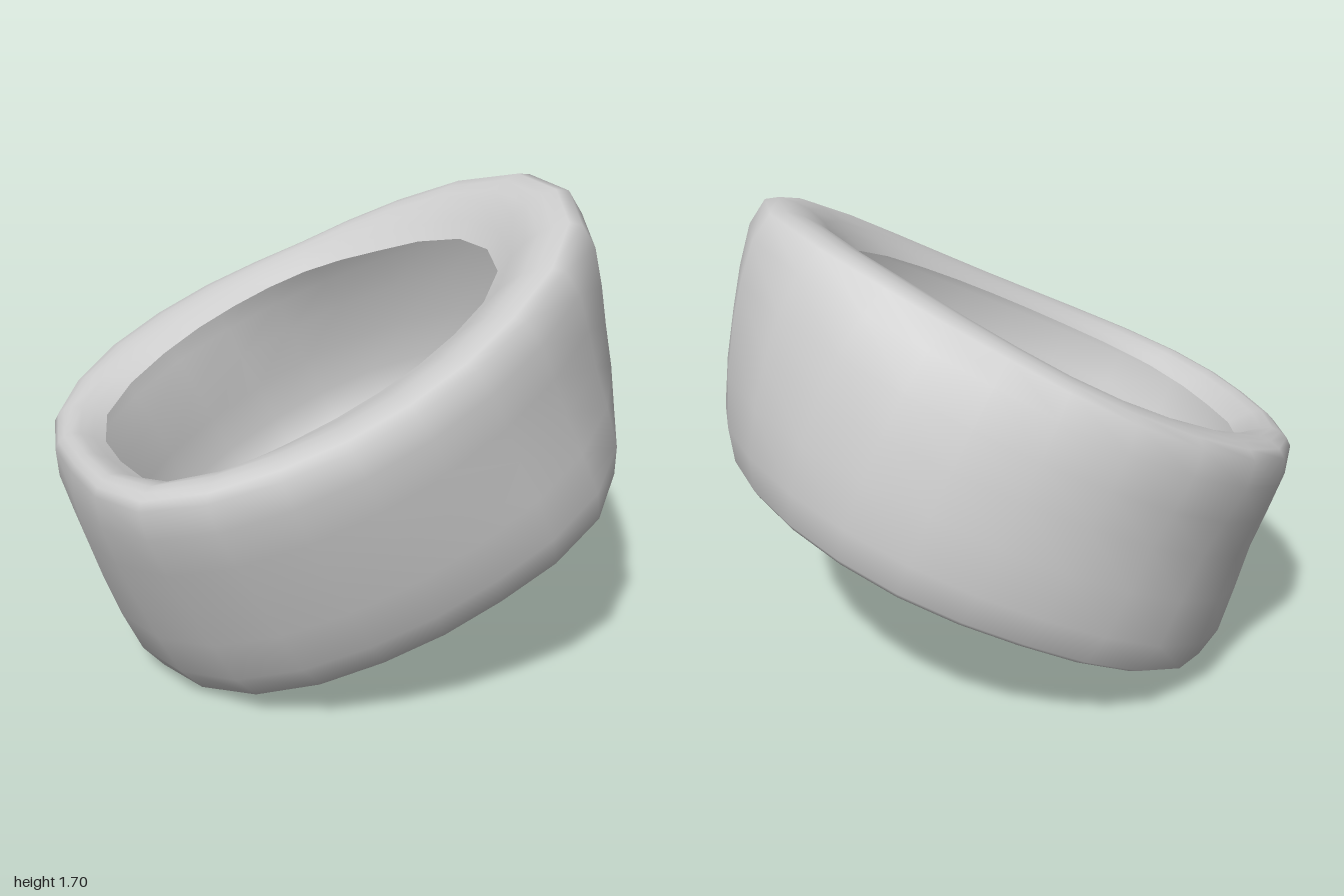
import * as THREE from 'three';

// Radii every 30 degrees, starting at the raised (+x) side and turning towards the front
const OUTER_TOP = [1.09, 1.07, 0.94, 0.88, 0.90, 0.96, 0.91, 0.96, 0.96, 0.88, 0.80, 0.90];
const OUTER_MID = [1.06, 1.03, 0.95, 0.90, 0.92, 0.99, 1.01, 1.00, 0.95, 0.90, 0.90, 0.97];
const OUTER_LOW = [0.87, 0.90, 0.92, 0.84, 0.85, 0.94, 1.00, 1.02, 0.94, 0.86, 0.86, 0.86];
const LIP_TOP = [0.73, 0.75, 0.66, 0.61, 0.64, 0.76, 0.75, 0.77, 0.67, 0.60, 0.59, 0.61];
const LIP_LOW = [0.70, 0.68, 0.61, 0.53, 0.53, 0.64, 0.74, 0.74, 0.72, 0.60, 0.58, 0.63];

const AROUND = 24;
const SECTION = 18;
const TILT = THREE.MathUtils.degToRad(26);
const CENTRE_HEIGHT = 0.845;

// Smooth periodic lookup in a table of radii
function radiusAt(table, t) {
  const n = table.length, f = t * n, i = Math.floor(f), k = f - i;
  const at = (j) => table[(i + j + n) % n];
  const a = at(-1), b = at(0), c = at(1), d = at(2);
  return b + 0.5 * k * (c - a + k * (2 * a - 5 * b + 4 * c - d + k * (3 * (b - c) + d - a)));
}

// Open cross-section of the hollow shell: lower lip, outer wall, upper lip
function sectionAt(t) {
  const [ot, om, ol, lt, ll] = [OUTER_TOP, OUTER_MID, OUTER_LOW, LIP_TOP, LIP_LOW].map((a) => radiusAt(a, t));
  const rise = 0.025 * Math.cos(4 * Math.PI * t); // rim dips at front and back
  const points = [
    [ll, -0.37],
    [ll * 0.5 + ol * 0.5, -0.475],
    [ol, -0.45],
    [om, 0],
    [ot, 0.38 + rise],
    [lt * 0.45 + ot * 0.55, 0.41 + rise],
    [lt, 0.34],
  ].map(([r, y]) => new THREE.Vector3(r, y, 0));
  return new THREE.CatmullRomCurve3(points, false, 'centripetal').getPoints(SECTION);
}

function shellGeometry() {
  const positions = [], index = [], row = SECTION + 1;
  for (let i = 0; i < AROUND; i++) {
    const angle = (i / AROUND) * Math.PI * 2;
    for (const p of sectionAt(i / AROUND)) {
      positions.push(p.x * Math.cos(angle), p.y, p.x * Math.sin(angle));
    }
    for (let j = 0; j < SECTION; j++) {
      const a = i * row + j, d = ((i + 1) % AROUND) * row + j;
      index.push(a, a + 1, d + 1, a, d + 1, d);
    }
  }
  const geometry = new THREE.BufferGeometry();
  geometry.setAttribute('position', new THREE.Float32BufferAttribute(positions, 3));
  geometry.setIndex(index);
  geometry.computeVertexNormals();
  return geometry;
}

export function createModel() {
  const group = new THREE.Group();
  group.name = 'tiltedRing';

  // Hollow band with lips curling inwards, leaning on its lower side
  const shell = new THREE.Mesh(
    shellGeometry(),
    new THREE.MeshStandardMaterial({ color: 0xcccccc, side: THREE.DoubleSide }),
  );
  shell.name = 'ringShell';
  shell.rotation.z = TILT;
  shell.position.y = CENTRE_HEIGHT;
  group.add(shell);
  return group;
}
